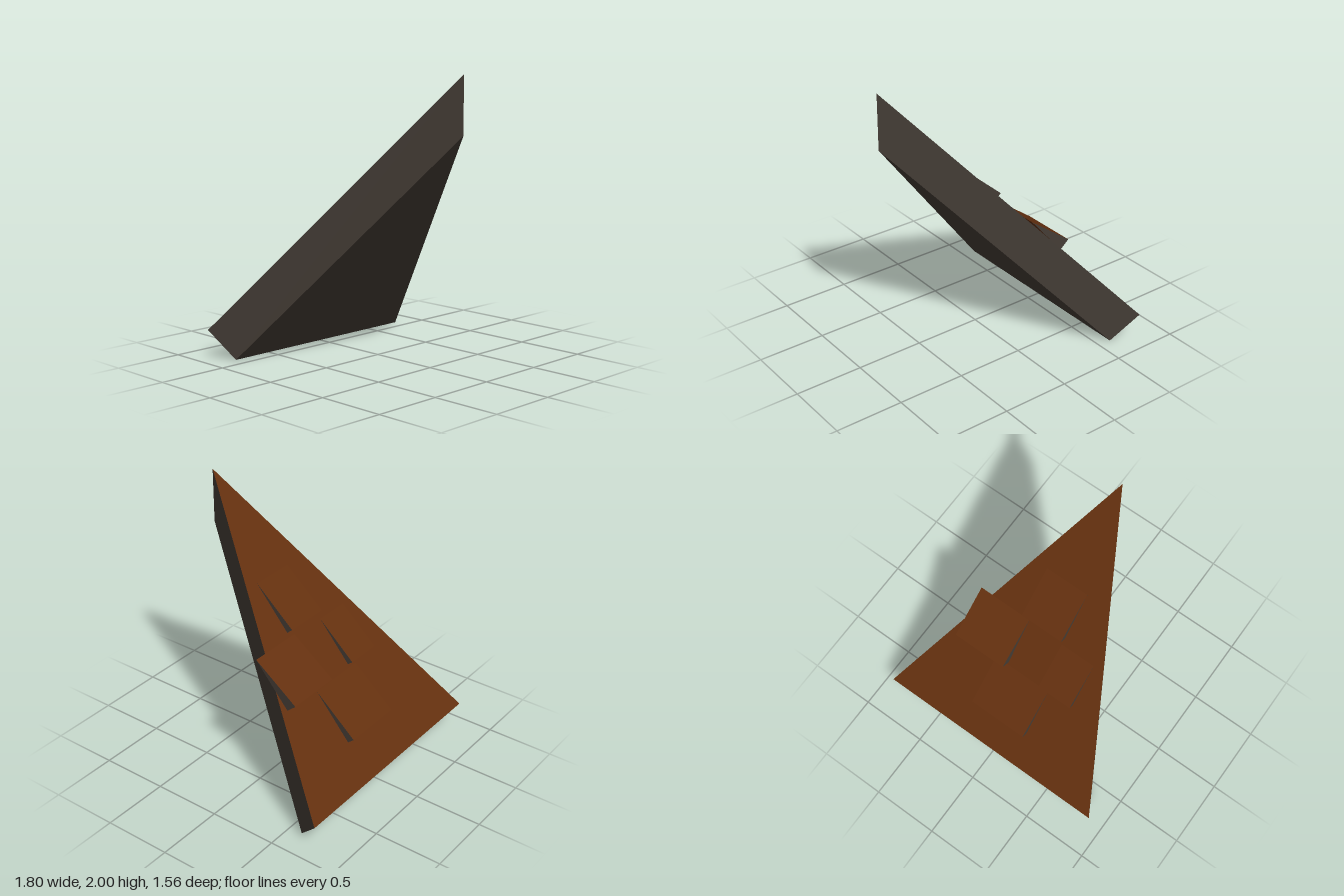
import * as THREE from 'three';

const wood = new THREE.MeshStandardMaterial({ color: 0x64300f });
wood.name = 'brown wood';
const stone = new THREE.MeshStandardMaterial({ color: 0x453d36 });
stone.name = 'dark grey';

// Flat-faced mesh from convex polygons, each a counter-clockwise corner list
function facets(name, material, polygons) {
  const pos = [];
  for (const p of polygons)
    for (let i = 1; i < p.length - 1; i++) pos.push(...p[0], ...p[i], ...p[i + 1]);
  const geo = new THREE.BufferGeometry();
  geo.setAttribute('position', new THREE.Float32BufferAttribute(pos, 3));
  geo.computeVertexNormals();
  const mesh = new THREE.Mesh(geo, material);
  mesh.name = name;
  return mesh;
}

// Height of the sloping roof face at depth z
const slope = 1.8 / 1.56;
const roofY = (z) => 0.2 + (z + 0.78) * slope;

// Triangular roof slab with a smaller underside
function roofSlab() {
  const peak = [0, 2, 0.78], left = [0.9, 0.2, -0.78], right = [-0.9, 0.2, -0.78];
  const lowPeak = [0, 1.6, 0.78], lowLeft = [0.8, 0, -0.6], lowRight = [-0.8, 0, -0.6];
  const group = new THREE.Group();
  group.name = 'roofSlab';
  group.add(
    facets('roofFace', wood, [[peak, left, right]]),
    facets('slabBody', stone, [
      [lowPeak, lowRight, lowLeft],
      [peak, lowPeak, lowLeft, left],
      [peak, right, lowRight, lowPeak],
      [right, left, lowLeft, lowRight],
    ]),
  );
  return group;
}

// Wedge shingle: flush at its upper edge, lifted at its lower edge
function shingle(x0, x1, zTop, zTip, yTip) {
  const zFoot = zTip + (yTip - roofY(zTip)) * slope / (1 + slope * slope);
  const top = (x) => [x, roofY(zTop), zTop];
  const tip = (x) => [x, yTip, zTip];
  const foot = (x) => [x, roofY(zFoot), zFoot];
  const group = new THREE.Group();
  group.name = 'shingle';
  group.add(
    facets('shingleBoard', wood, [
      [top(x0), top(x1), tip(x1), tip(x0)],
      [tip(x0), tip(x1), foot(x1), foot(x0)],
      [top(x0), foot(x0), foot(x1), top(x1)],
    ]),
    facets('shingleSides', stone, [
      [top(x1), foot(x1), tip(x1)],
      [top(x0), tip(x0), foot(x0)],
    ]),
  );
  return group;
}

export function createModel() {
  const model = new THREE.Group();
  model.name = 'roofSection';
  model.add(roofSlab());
  // x range, upper edge z, lower edge z and height
  for (const s of [
    [-0.13, 0.205, 0.235, -0.065, 1.11],
    [0.155, 0.57, -0.045, -0.372, 0.806],
    [-0.4, -0.13, -0.055, -0.335, 0.785],
    [-0.2, 0.255, -0.315, -0.628, 0.467],
  ]) model.add(shingle(...s));
  return model;
}
